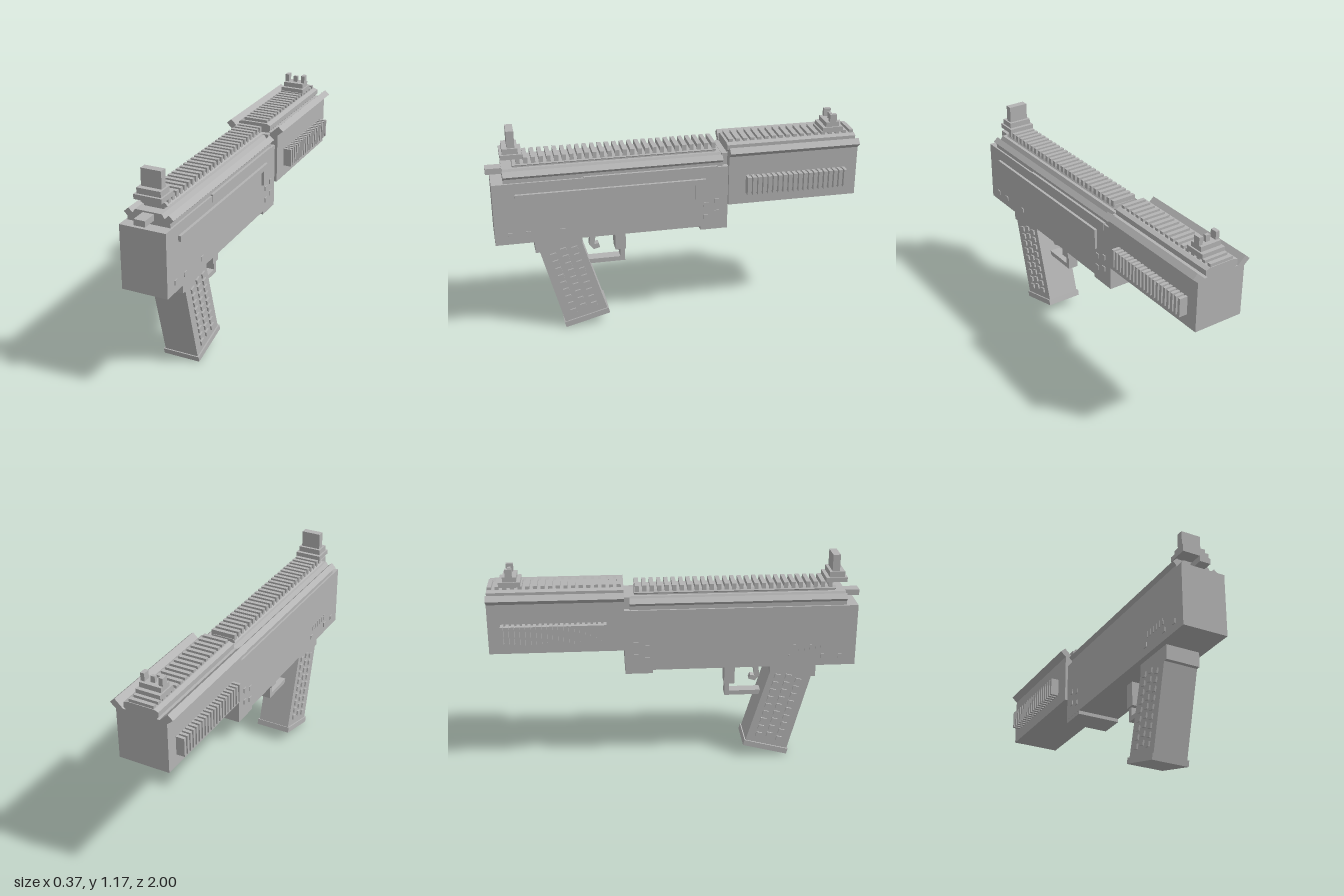
import * as THREE from 'three';

const grey = new THREE.MeshStandardMaterial({ color: 0xb4b4b4 });
grey.name = 'grey metal';

export function createModel() {
  const model = new THREE.Group();
  model.name = 'toyBlaster';

  function add(name, geometry, parent = model) {
    const mesh = new THREE.Mesh(geometry, grey);
    mesh.name = name;
    parent.add(mesh);
    return mesh;
  }
  // Box given by its limits on each axis
  function box(name, x0, x1, y0, y1, z0, z1, parent = model) {
    const mesh = add(name, new THREE.BoxGeometry(x1 - x0, y1 - y0, z1 - z0), parent);
    mesh.position.set((x0 + x1) / 2, (y0 + y1) / 2, (z0 + z1) / 2);
    return mesh;
  }
  const mid = (name, w, y0, y1, z0, z1) => box(name, -w, w, y0, y1, z0, z1);

  // Symmetric cross-section (right half, bottom to top) run along z
  function prism(name, half, z0, z1) {
    const left = half.map(([x, y]) => [-x, y]).reverse();
    const shape = new THREE.Shape([...half, ...left].map(p => new THREE.Vector2(...p)));
    const g = new THREE.ExtrudeGeometry(shape, { depth: z1 - z0, bevelEnabled: false });
    return add(name, g.translate(0, 0, z0));
  }
  // Side profile in (z, y) run across the width
  function side(name, points, x0, x1) {
    const shape = new THREE.Shape(points.map(([z, y]) => new THREE.Vector2(-z, y)));
    const g = new THREE.ExtrudeGeometry(shape, { depth: x1 - x0, bevelEnabled: false });
    return add(name, g.rotateY(Math.PI / 2).translate(x0, 0, 0));
  }

  // Receiver
  mid('receiver', 0.125, 0.56, 0.905, -0.28, 0.977);
  mid('receiverLip', 0.124, 0.54, 0.562, -0.28, -0.13);
  prism('receiverTop', [[0.115, 0.9], [0.115, 0.927], [0.133, 0.945], [0.108, 0.968],
    [0.086, 0.946], [0.072, 0.968]], -0.25, 0.915);
  mid('neck', 0.095, 0.9, 0.97, -0.29, -0.25);
  mid('rearTab', 0.03, 0.928, 0.96, 0.9, 1);
  box('ejectionCover', 0.11, 0.129, 0.87, 0.912, -0.22, 0.5);

  // Charging channel on the left side, with a hook at its front end
  side('sideRail', [[0.86, 0.815], [0.86, 0.845], [-0.155, 0.845], [-0.155, 0.73],
    [-0.1, 0.73], [-0.1, 0.815]], 0.12, 0.14);

  // Pins on both sides
  for (const s of [-1, 1]) {
    for (const [z, y] of [[0.895, 0.615], [0.8, 0.615], [0.62, 0.615],
      [-0.16, 0.62], [-0.16, 0.69], [-0.22, 0.64], [-0.22, 0.71]]) {
      box('pin', s * 0.125 - 0.005, s * 0.125 + 0.005, y - 0.013, y + 0.013, z - 0.013, z + 0.013);
    }
  }
  // Row of small marks on the other side
  for (let i = 0; i < 6; i++) {
    const z = 0.64 + i * 0.03;
    box('selectorMark', -0.128, -0.12, 0.65, 0.685, z - 0.006, z + 0.006);
  }

  // Handguard with flared upper wings
  prism('handguard', [[0.14, 0.685], [0.14, 0.962], [0.172, 0.99], [0.145, 1.015],
    [0.1, 0.973]], -1, -0.28);
  for (const s of [-1, 1]) {
    const panel = new THREE.Group();
    panel.name = s > 0 ? 'leftRibPanel' : 'rightRibPanel';
    model.add(panel);
    const inner = s * 0.135, pad = s * 0.165, rib = s * 0.186;
    const lo = (a, b) => Math.min(a, b), hi = (a, b) => Math.max(a, b);
    box('ribPad', lo(inner, pad), hi(inner, pad), 0.757, 0.843, -0.93, -0.375, panel);
    for (let i = 0; i < 20; i++) {
      const z = -0.382 - i * 0.0285;
      box('rib', lo(inner, rib), hi(inner, rib), 0.75, 0.852, z - 0.008, z + 0.008, panel);
    }
  }

  // Toothed top rails
  function teeth(name, count, start, w, y0, y1) {
    const rail = new THREE.Group();
    rail.name = name;
    model.add(rail);
    for (let i = 0; i < count; i++) {
      const z = start + i * 0.04;
      box('railTooth', -w, w, y0, y1, z - 0.011, z + 0.011, rail);
    }
  }
  prism('rearRailBase', [[0.055, 0.96], [0.055, 0.975], [0.073, 0.985], [0.06, 1]], -0.225, 0.86);
  teeth('rearRailTeeth', 27, -0.21, 0.068, 0.99, 1.024);
  prism('frontRailBase', [[0.08, 0.97], [0.095, 0.985], [0.095, 1.012], [0.072, 1.02]], -1, -0.28);
  teeth('frontRailTeeth', 18, -0.985, 0.068, 1.01, 1.036);

  // Rear sight
  mid('rearSightBase', 0.075, 1.02, 1.046, 0.805, 0.92);
  mid('rearSightStep', 0.065, 1.046, 1.076, 0.825, 0.907);
  mid('rearSightPost', 0.055, 1.076, 1.167, 0.84, 0.88);

  // Front sight: stepped base, two ears and a centre bead
  mid('frontSightBase', 0.068, 1.03, 1.058, -0.937, -0.822);
  mid('frontSightStep', 0.06, 1.058, 1.085, -0.915, -0.842);
  for (const s of [-1, 1]) {
    box('frontSightEar', s * 0.05 - 0.011, s * 0.05 + 0.011, 1.085, 1.128, -0.9, -0.862);
  }
  mid('frontSightBead', 0.012, 1.085, 1.12, -0.89, -0.872);

  // Slanted grip
  side('grip', [[0.77, 0.565], [0.768, 0.48], [0.745, 0.48], [0.624, 0.022],
    [0.388, 0.085], [0.515, 0.51], [0.515, 0.565]], -0.095, 0.095);
  const gripFrame = new THREE.Group();
  gripFrame.name = 'gripDetails';
  gripFrame.position.set(0, 0.042, 0.503);
  gripFrame.rotation.x = Math.atan(0.262);
  model.add(gripFrame);
  box('gripBasePlate', -0.103, 0.103, -0.008, 0.024, -0.128, 0.128, gripFrame);

  // Raised square studs, three columns per side
  for (const s of [-1, 1]) {
    for (let c = -1; c <= 1; c++) {
      for (let r = 0; r < 9; r++) {
        const y = 0.075 + r * 0.046 + (c === 0 ? 0.012 : 0), z = c * 0.06;
        box('gripStud', s * 0.096 - 0.008, s * 0.096 + 0.008, y - 0.014, y + 0.014,
          z - 0.016, z + 0.016, gripFrame);
      }
    }
  }

  // Trigger and guard
  side('trigger', [[0.455, 0.565], [0.47, 0.46], [0.445, 0.43], [0.41, 0.44],
    [0.418, 0.465], [0.442, 0.46], [0.425, 0.565]], -0.02, 0.02);
  mid('guardBlock', 0.04, 0.425, 0.565, 0.27, 0.328);
  mid('guardPost', 0.03, 0.35, 0.43, 0.274, 0.3);
  mid('guardBar', 0.03, 0.35, 0.376, 0.274, 0.475);

  return model;
}
